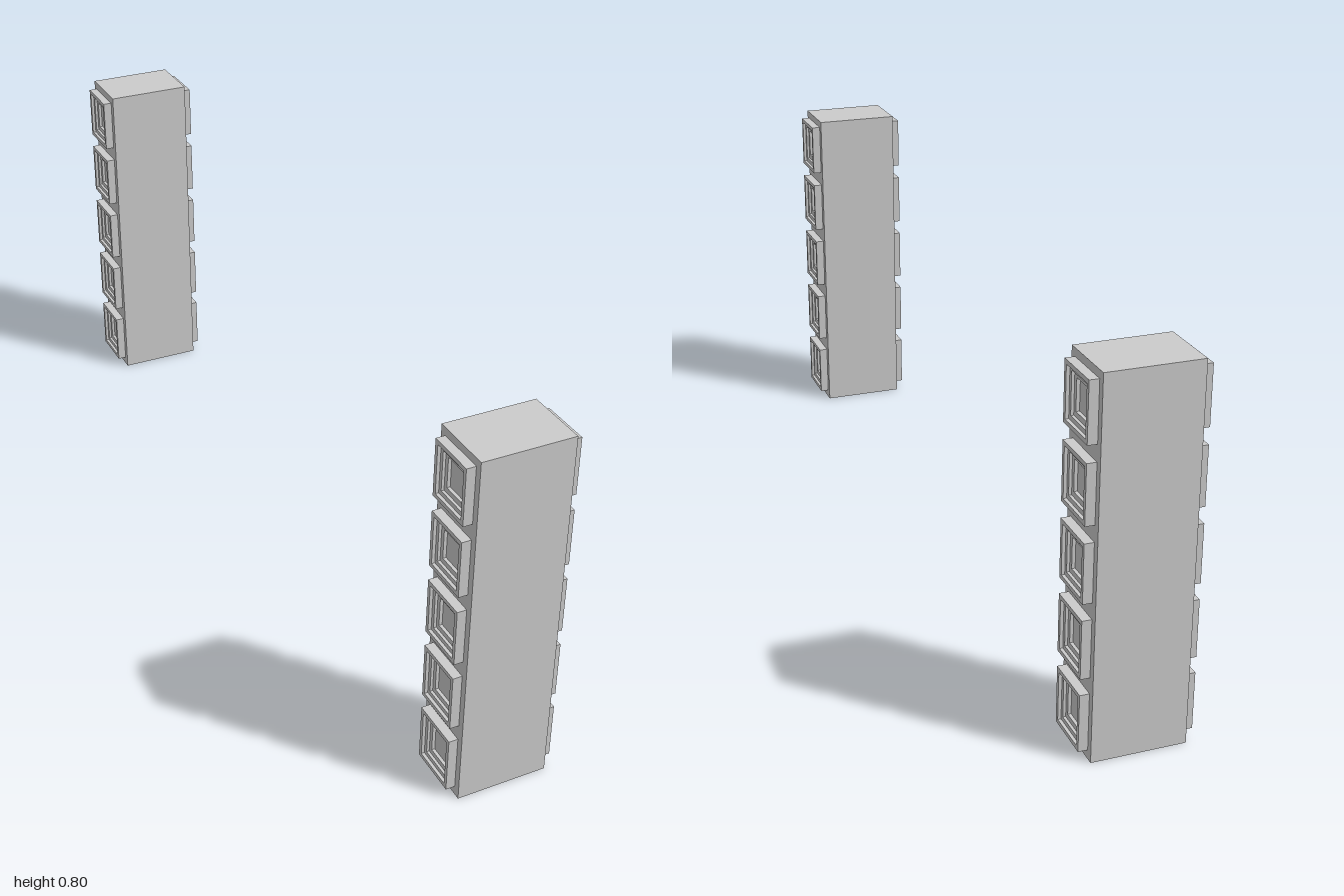
import * as THREE from 'three';

const W = 0.2, H = 0.8, D = 0.14;
const material = new THREE.MeshStandardMaterial({ color: 0xcccccc, flatShading: true });

// Stepped frames, outside to inside: outer size, opening size, height above the pillar face
const STEPS = [
  { outer: [0.11, 0.125], inner: [0.092, 0.107], height: 0.02 },
  { outer: [0.092, 0.107], inner: [0.075, 0.088], height: 0.013 },
  { outer: [0.075, 0.088], inner: [0.056, 0.066], height: 0.007 },
];

function rectangle(target, [w, h]) {
  target.moveTo(-w / 2, -h / 2);
  target.lineTo(w / 2, -h / 2);
  target.lineTo(w / 2, h / 2);
  target.lineTo(-w / 2, h / 2);
  target.closePath();
  return target;
}

const frameGeometries = STEPS.map(({ outer, inner, height }) => {
  const shape = rectangle(new THREE.Shape(), outer);
  shape.holes.push(rectangle(new THREE.Path(), inner));
  return new THREE.ExtrudeGeometry(shape, { depth: height, bevelEnabled: false });
});

// Square coffer panel stepping down towards its centre
function createPanel() {
  const panel = new THREE.Group();
  panel.name = 'cofferPanel';
  frameGeometries.forEach((geometry, i) => {
    const frame = new THREE.Mesh(geometry, material);
    frame.name = ['outerFrame', 'middleFrame', 'innerFrame'][i];
    panel.add(frame);
  });
  return panel;
}

function createPillar(name) {
  const pillar = new THREE.Group();
  pillar.name = name;

  const shaft = new THREE.Mesh(new THREE.BoxGeometry(W, H, D), material);
  shaft.name = 'shaft';
  shaft.position.y = H / 2;
  pillar.add(shaft);

  // Five panels up each side face
  for (const side of [-1, 1]) {
    for (let i = 0; i < 5; i++) {
      const panel = createPanel();
      panel.position.set(side * W / 2, 0.082 + i * 0.1597, 0);
      panel.rotation.y = side * Math.PI / 2;
      pillar.add(panel);
    }
  }
  return pillar;
}

export function createModel() {
  const model = new THREE.Group();
  model.name = 'pillarPair';
  for (const [name, side] of [['frontPillar', 1], ['backPillar', -1]]) {
    const pillar = createPillar(name);
    pillar.position.z = side * (1 - D / 2);
    model.add(pillar);
  }
  return model;
}
